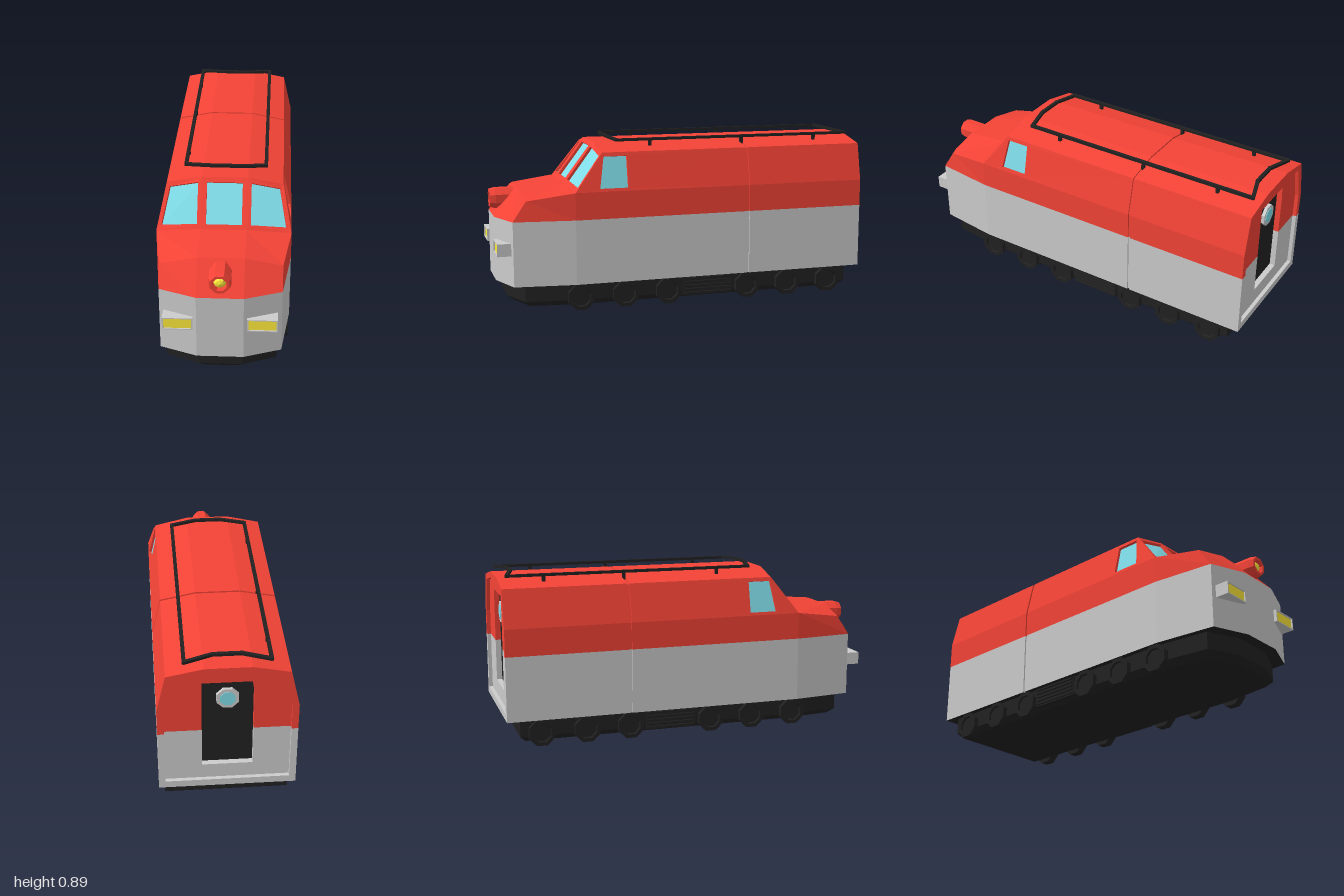
import * as THREE from 'three';

const material = (color, side = THREE.DoubleSide) =>
  new THREE.MeshStandardMaterial({ color, flatShading: true, side });
const RED = material(0xf44336), GREY = material(0xcccccc), BLACK = material(0x212121);
const GLASS = material(0x80deea), YELLOW = material(0xffeb3b);

const flip = ([x, y, z]) => [-x, y, z];
// Half a row of points, continued by its mirror image
const both = (row) => [...row, ...row.map(flip).reverse()];
const at = (row, z) => row.map(([x, y]) => [x, y, z]);

// Skin stretched across successive rows of points
function loft(rows, closed = false) {
  const pos = [];
  for (let r = 0; r + 1 < rows.length; r++) {
    const a = rows[r], b = rows[r + 1], n = a.length;
    for (let i = 0; i < (closed ? n : n - 1); i++) {
      const j = (i + 1) % n;
      pos.push(...a[i], ...b[i], ...b[j], ...a[i], ...b[j], ...a[j]);
    }
  }
  const g = new THREE.BufferGeometry();
  g.setAttribute('position', new THREE.Float32BufferAttribute(pos, 3));
  g.computeVertexNormals();
  return g;
}

export function createModel() {
  const model = new THREE.Group();
  model.name = 'locomotive';

  function add(name, geometry, mat, x = 0, y = 0, z = 0) {
    const m = new THREE.Mesh(geometry, mat);
    m.name = name;
    m.position.set(x, y, z);
    model.add(m);
    return m;
  }
  const box = (name, w, h, d, mat, x, y, z) => add(name, new THREE.BoxGeometry(w, h, d), mat, x, y, z);

  // Panel with a recessed four-cornered window
  function windowPanel(name, outer, inner, depth = 0.014) {
    const [a, b, c] = inner.map((p) => new THREE.Vector3(...p));
    const n = b.clone().sub(a).cross(c.clone().sub(a)).normalize();
    if (n.dot(a.clone().sub(new THREE.Vector3(0, 0.4, 0))) > 0) n.negate();
    n.multiplyScalar(depth);
    const sunk = inner.map(([x, y, z]) => [x + n.x, y + n.y, z + n.z]);
    add(name + 'Frame', loft([outer, inner, sunk], true), RED);
    add(name + 'Glass', loft([[sunk[0], sunk[1]], [sunk[3], sunk[2]]]), GLASS);
  }

  // Lower body, with the groove between the two halves
  const plan = [[0.34, -1], [0.34, -0.351], [0.332, -0.351], [0.332, -0.339], [0.34, -0.339],
    [0.34, 0.6], [0.3, 0.92], [0.115, 0.99]];
  const ring = (y) => both(plan.map(([x, z]) => [x, y, z]));
  add('lowerBody', loft([ring(0.14), ring(0.48)]), GREY);
  const floor = ring(0.14);
  add('floor', loft([floor.slice(0, 8), floor.slice(8).reverse()]), BLACK);

  // Upper body
  const half = [[0.34, 0.48], [0.34, 0.622], [0.295, 0.82], [0.115, 0.857]];
  const grooveHalf = [[0.332, 0.48], [0.332, 0.62], [0.288, 0.814], [0.113, 0.849]];
  const rear = at(half, -0.351), front = at(half, -0.339);
  add('rearUpperBody', loft([both(at(half, -1)), both(rear), both(at(grooveHalf, -0.351)),
    both(at(grooveHalf, -0.339)), both(front)]), RED);

  // Cab and nose corner points
  const waist = [[0.34, 0.48, 0.6], [0.3, 0.48, 0.92], [0.115, 0.48, 0.99]];
  const shoulder = [0.34, 0.622, 0.6], hoodCorner = [0.3, 0.585, 0.85], hoodFront = [0.115, 0.625, 0.86];
  const eave = [0.295, 0.82, 0.45], brow = [0.115, 0.857, 0.46], base = [0.115, 0.645, 0.62];
  add('nose', loft([both(waist), both([shoulder, hoodCorner, hoodFront])]), RED);
  add('hood', loft([both([hoodCorner, hoodFront]), both([shoulder, base])]), RED);
  add('cabRoof', loft([both([front[2], front[3]]), both([eave, brow])]), RED);

  // Windscreens and side windows
  const mid = [[0.09, 0.835, 0.476], [0.09, 0.665, 0.605]];
  windowPanel('centreWindscreen', both([brow, base]), both(mid));
  const sideScreen = [[0.135, 0.834, 0.476], [0.28, 0.801, 0.464], [0.315, 0.645, 0.584], [0.135, 0.664, 0.603]];
  const sideWindow = [[0.336, 0.638, 0.47], [0.3, 0.8, 0.443], [0.3, 0.8, 0.32], [0.336, 0.638, 0.32]];
  for (const [side, f] of [['left', (p) => p], ['right', flip]]) {
    add(side + 'CabSide', loft([[front[0], front[1]], [waist[0], shoulder]].map((r) => r.map(f))), RED);
    windowPanel(side + 'Windscreen', [brow, eave, shoulder, base].map(f), sideScreen.map(f));
    windowPanel(side + 'SideWindow', [shoulder, eave, front[2], front[1]].map(f), sideWindow.map(f));
  }

  // Rear wall: rim, recessed wall and door opening
  const rearWall = (outer, inner, door) => loft([
    at(outer, -1), at(inner, -1), at(inner, -0.98), at(door, -0.98), at(door, -0.95)].map(both));
  add('upperRearWall', rearWall(half, [[0.307, 0.48], [0.307, 0.615], [0.266, 0.793], [0.105, 0.826]],
    [[0.125, 0.48], [0.125, 0.6], [0.125, 0.7], [0.125, 0.76]]), RED);
  add('lowerRearWall', rearWall([[0.34, 0.48], [0.34, 0.14]], [[0.307, 0.48], [0.307, 0.178]],
    [[0.125, 0.48], [0.125, 0.26]]), GREY);
  box('rearDoor', 0.25, 0.5, 0.01, BLACK, 0, 0.51, -0.946);

  // Octagonal porthole in the door
  const octagon = (r, h) => new THREE.CylinderGeometry(r, r, h, 8).rotateY(Math.PI / 8).rotateX(Math.PI / 2);
  add('portholeRim', octagon(0.058, 0.02), GREY, 0, 0.655, -0.958);
  add('portholeGlass', octagon(0.04, 0.02), GLASS, 0, 0.655, -0.961);

  // Nose lamp: hollow octagonal housing with a faceted bulb
  const housing = [[0.058, 0.78], [0.058, 0.97], [0.05, 1], [0.036, 1], [0.034, 0.96], [0, 0.96]];
  const lamp = new THREE.LatheGeometry(housing.map(([r, z]) => new THREE.Vector2(r, z)), 8);
  add('noseLampHousing', lamp.rotateY(Math.PI / 8).rotateX(Math.PI / 2), RED, 0, 0.562, 0);
  add('noseLampBulb', new THREE.SphereGeometry(0.034, 8, 5).rotateX(Math.PI / 2), YELLOW, 0, 0.562, 0.963);

  // Rectangular headlights
  const rect = (w, h, z) => [[w, h, z], [-w, h, z], [-w, -h, z], [w, -h, z]];
  for (const s of [-1, 1]) {
    add('headlightHousing', loft([rect(0.074, 0.033, -0.08), rect(0.074, 0.033, 0),
      rect(0.068, 0.028, 0), rect(0.068, 0.028, -0.008)], true), GREY, s * 0.206, 0.333, 1);
    box('headlightLens', 0.138, 0.058, 0.004, YELLOW, s * 0.206, 0.333, 0.991);
  }

  // Underframe with a chamfered lower edge
  const under = (y, inset) => both([[0.31, -0.93], [0.31, 0.6], [0.275, 0.86], [0.11, 0.93]]
    .map(([x, z]) => [x - inset, y, z - Math.sign(z) * inset]));
  const keel = under(0.02, 0.03);
  add('underframe', loft([under(0.14, 0), under(0.05, 0), keel], true), BLACK);
  add('underframeBottom', loft([keel.slice(0, 4), keel.slice(4).reverse()]), BLACK);

  // Wheels and louvred side boxes
  const wheelProfile = [[0, -0.025], [0.073, -0.025], [0.073, 0.02], [0.052, 0.02], [0.048, 0.01], [0, 0.01]]
    .map(([r, h]) => new THREE.Vector2(r, h));
  const wheel = new THREE.LatheGeometry(wheelProfile, 8).rotateY(Math.PI / 8);
  for (const s of [-1, 1]) {
    for (const z of [0.575, 0.335, 0.1, -0.345, -0.58, -0.82]) {
      add('wheel', wheel, BLACK, s * 0.315, 0.07, z).rotation.z = -s * Math.PI / 2;
    }
    box('louvreBox', 0.04, 0.1, 0.27, BLACK, s * 0.3, 0.085, -0.122);
    for (let i = 0; i < 5; i++) {
      box('louvre', 0.012, 0.01, 0.26, BLACK, s * 0.324, 0.047 + i * 0.02, -0.122);
    }
  }

  // Roof rail loop on short posts
  const railHalf = [[0.205, 0.872, -0.96], [0.205, 0.872, 0.35], [0.07, 0.882, 0.38]];
  const rail = [...both(railHalf), [-0.07, 0.882, -0.92], [0.07, 0.882, -0.92]];
  rail.forEach((p, i) => {
    const a = new THREE.Vector3(...p), b = new THREE.Vector3(...rail[(i + 1) % rail.length]);
    const bar = box('roofRail', 0.018, 0.014, a.distanceTo(b) + 0.012, BLACK);
    bar.position.copy(a).lerp(b, 0.5);
    bar.lookAt(b);
  });
  for (const x of [-0.205, 0.205]) {
    for (const z of [0.17, -0.345, -0.77]) box('railPost', 0.016, 0.05, 0.016, BLACK, x, 0.85, z);
  }
  return model;
}
